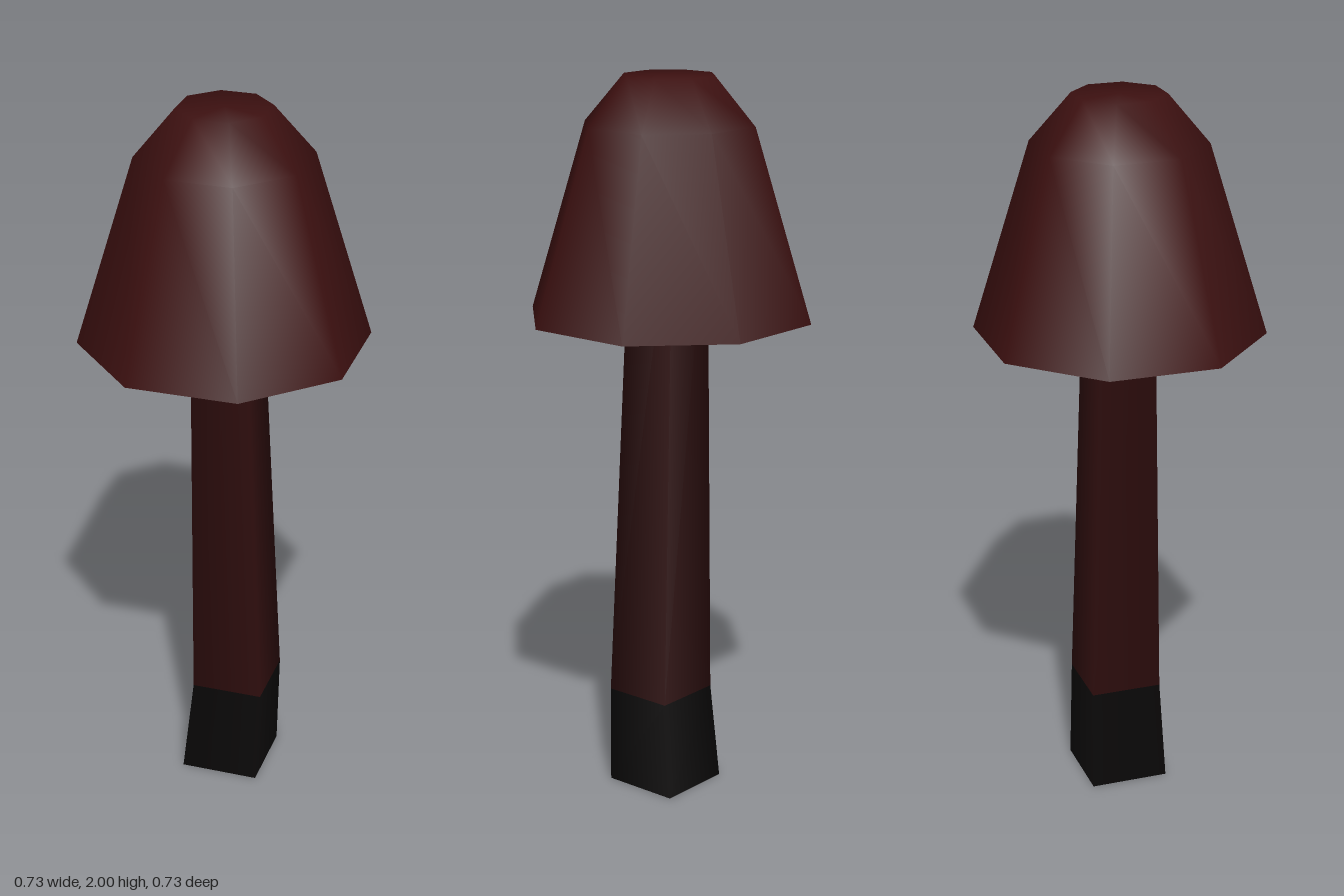
import * as THREE from 'three';

// Square stem piece between two sections: { y, x: centre, half: half width }
function stemPiece(name, low, high, color) {
  const h = high.y - low.y;
  const geo = new THREE.CylinderGeometry(high.half * Math.SQRT2, low.half * Math.SQRT2, h, 4, 1);
  geo.rotateY(Math.PI / 4);
  const pos = geo.attributes.position;
  for (let i = 0; i < pos.count; i++) {
    const t = pos.getY(i) / h + 0.5;
    pos.setX(i, pos.getX(i) + THREE.MathUtils.lerp(low.x, high.x, t));
  }
  geo.translate(0, low.y + h / 2, 0);
  const mesh = new THREE.Mesh(geo, new THREE.MeshStandardMaterial({ color }));
  mesh.name = name;
  return mesh;
}

export function createModel() {
  const group = new THREE.Group();
  group.name = 'mushroom';

  // Stem, bent near the foot and running up inside the cap
  const foot = { y: 0, x: 0.018, half: 0.11 };
  const bend = { y: 0.28, x: 0.038, half: 0.1 };
  const top = { y: 1.7, x: 0, half: 0.073 };
  group.add(stemPiece('stemFoot', foot, bend, 0x0b0909));
  group.add(stemPiece('stem', bend, top, 0x2e0d0d));

  // Hollow eight-sided cap; profile widths are measured to the flats
  const toCorner = 1 / Math.cos(Math.PI / 8);
  const profile = [[0.367, 1.35], [0.22, 1.87], [0.117, 2], [0, 2]]
    .map(([r, y]) => new THREE.Vector2(r * toCorner, y));
  const cap = new THREE.Mesh(
    new THREE.LatheGeometry(profile, 8, Math.PI / 8),
    new THREE.MeshStandardMaterial({ color: 0x3c1010, side: THREE.DoubleSide })
  );
  cap.name = 'cap';
  group.add(cap);

  return group;
}
